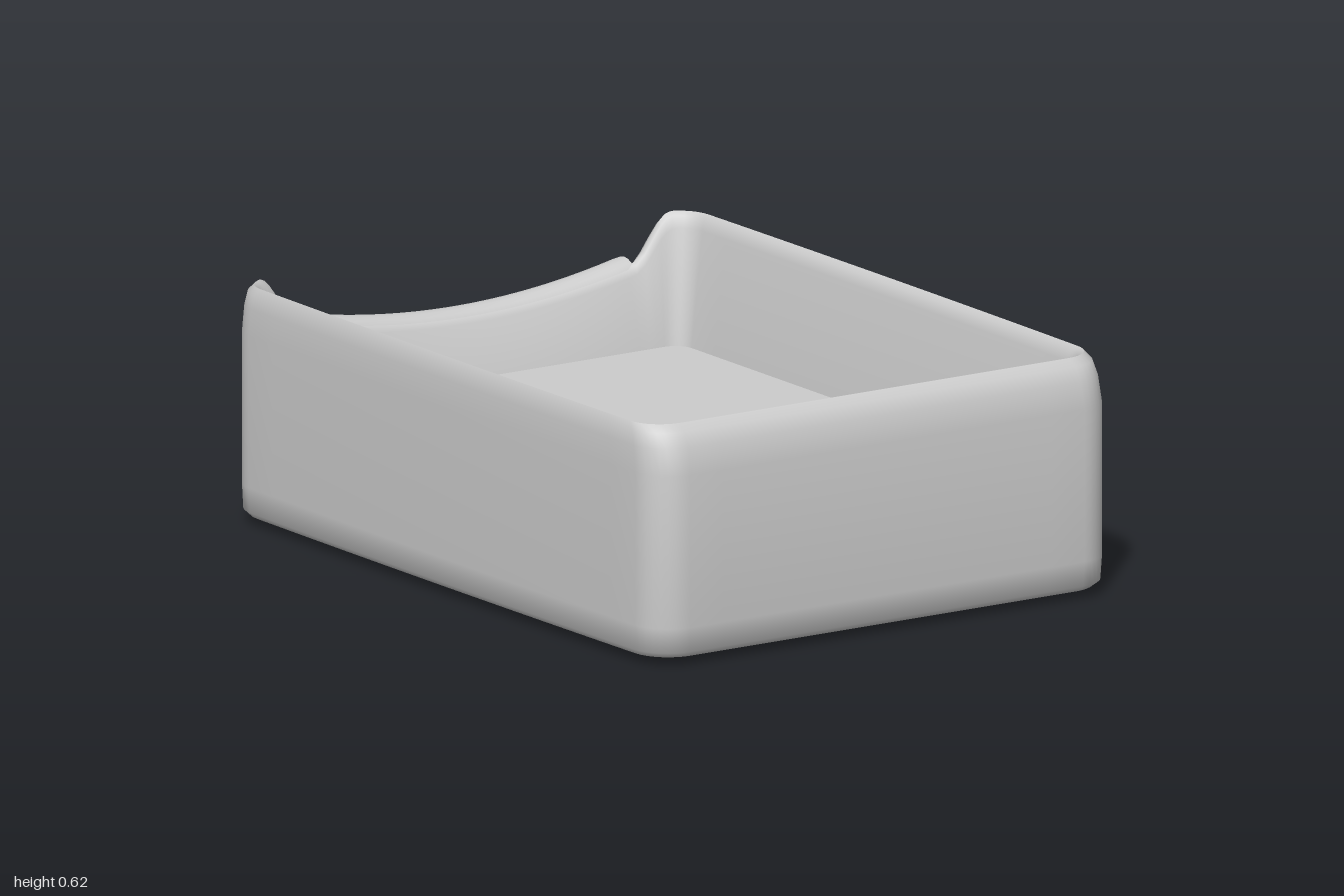
import * as THREE from 'three';
import { toCreasedNormals } from 'three/addons/utils/BufferGeometryUtils.js';

const FLOOR = 0.29, RIM = 0.625;
const { clamp, lerp, smoothstep } = THREE.MathUtils;

// Height of the back wall's rim: a shallow sagging dip between the raised corners
function backTop(x) {
  const a = Math.abs(x);
  const sag = 0.44 + 0.06 * Math.min(1, (a / 0.52) ** 2);
  return lerp(sag, RIM, smoothstep(a, 0.51, 0.635));
}

// Skin a list of closed rings, with a fan closing each end
function loft(rings, startPoint, endPoint) {
  const n = rings[0].length, pos = [], idx = [];
  [...rings.flat(), startPoint, endPoint].forEach(p => pos.push(...p));
  const s = rings.length * n, e = s + 1, last = (rings.length - 1) * n;
  for (let j = 0; j < n; j++) {
    const k = (j + 1) % n;
    for (let i = 0; i < rings.length - 1; i++) {
      const a = i * n + j, b = i * n + k;
      idx.push(a, b, a + n, b, b + n, a + n);
    }
    idx.push(s, k, j, e, last + j, last + k);
  }
  const g = new THREE.BufferGeometry();
  g.setAttribute('position', new THREE.Float32BufferAttribute(pos, 3));
  g.setIndex(idx);
  return toCreasedNormals(g, 0.9);
}

// Rounded rectangle in plan; the back edge is finely divided so it can dip
function trayRing([hx, zf, zb, r, y, inner]) {
  const corners = [[hx - r, zf - r], [hx - r, zb + r], [r - hx, zb + r], [r - hx, zf - r]];
  const edgeSteps = [16, 48, 16, 12], arc = 8, plan = [];
  corners.forEach(([cx, cz], c) => {
    for (let i = 0; i <= arc; i++) {
      const t = (c + i / arc) * Math.PI / 2;
      plan.push([cx + r * Math.sin(t), cz + r * Math.cos(t)]);
    }
    const t = (c + 1) * Math.PI / 2, ox = r * Math.sin(t), oz = r * Math.cos(t);
    const [nx, nz] = corners[(c + 1) % 4];
    for (let i = 1; i < edgeSteps[c]; i++) {
      const f = i / edgeSteps[c];
      plan.push([lerp(cx, nx, f) + ox, lerp(cz, nz, f) + oz]);
    }
  });
  const base = inner ? FLOOR : 0.1;
  const share = clamp((y - base) / (RIM - base), 0, 1);
  return plan.map(([x, z]) => {
    const drop = z < zb + r ? share * (RIM - backTop(x)) : 0;
    const bulge = inner ? 1 : 1 + 0.012 * (1 - z * z); // sides swell slightly
    return [x * bulge, y - drop, z];
  });
}

export function createModel() {
  const group = new THREE.Group();
  const material = new THREE.MeshStandardMaterial({ color: 0xcccccc });
  const add = (name, geometry) => {
    const mesh = new THREE.Mesh(geometry, material);
    mesh.name = name;
    group.add(mesh);
  };

  // Tray: underside, outer wall, rounded rim, inner wall, floor
  // [half width, front z, back z, corner radius, y, inner]
  const sections = [
    [0.60, 0.85, -0.80, 0.08, 0.003],
    [0.66, 0.94, -0.89, 0.09, 0.010],
    [0.695, 0.98, -0.93, 0.10, 0.020],
    [0.708, 0.995, -0.942, 0.10, 0.035],
    [0.71, 1.0, -0.945, 0.10, 0.10],
    [0.71, 1.0, -0.945, 0.10, 0.50],
    [0.706, 0.987, -0.94, 0.10, 0.57],
    [0.70, 0.967, -0.93, 0.095, 0.607],
    [0.69, 0.94, -0.912, 0.09, RIM],
    [0.68, 0.918, -0.90, 0.08, 0.615, true],
    [0.67, 0.905, -0.89, 0.075, 0.585, true],
    [0.62, 0.885, -0.84, 0.05, FLOOR, true],
  ];
  add('tray', loft(sections.map(trayRing), [0, 0, 0], [0, FLOOR, 0]));

  // Rolled lip along the dipped back rim, with softly rounded ends
  const half = 0.53, steps = 40, sides = 20, lip = [];
  const lipY = x => backTop(clamp(x, -0.51, 0.51)) - 0.035;
  const section = (x, k) => Array.from({ length: sides }, (_, j) => {
    const t = j / sides * Math.PI * 2;
    return [x, lipY(x) + 0.05 * k * Math.sin(t), -0.945 - 0.055 * k * Math.cos(t)];
  });
  lip.push(section(-half, 0.75));
  for (let i = 0; i <= steps; i++) lip.push(section(lerp(-half + 0.012, half - 0.012, i / steps), 1));
  lip.push(section(half, 0.75));
  add('backLip', loft(lip, [-half, lipY(half), -0.945], [half, lipY(half), -0.945]));

  return group;
}
